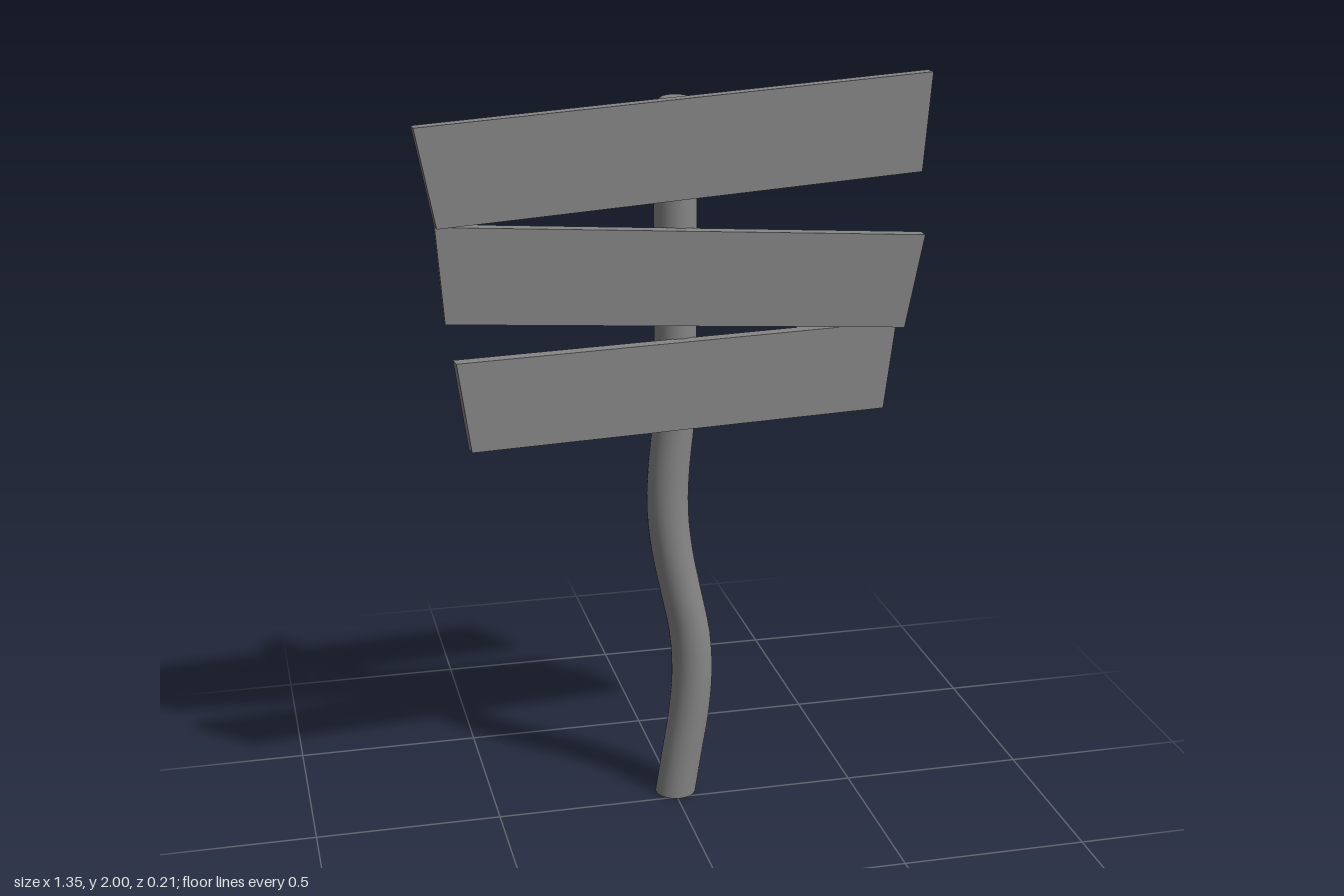
import * as THREE from 'three';
import { mergeVertices } from 'three/addons/utils/BufferGeometryUtils.js';

const material = new THREE.MeshStandardMaterial({ color: 0x868686, side: THREE.DoubleSide });
const RADIUS = 0.056;
const POST_X = 0.006;
const POST_Z = -0.047;
const BEND_TOP = 1.2;

// Sideways bend of the post, sampled at even heights from 0 to BEND_TOP
const bend = new THREE.CatmullRomCurve3(
  [POST_X, 0.025, 0.044, 0.053, 0.046, 0.022, -0.002, -0.015, -0.012, 0, POST_X]
    .map((x, i) => new THREE.Vector3(x, i * 0.12, 0)),
  false, 'catmullrom', 0.5
);

function createPost() {
  const group = new THREE.Group();
  group.name = 'post';

  // Straight profile, open at the foot, with a rounded top edge
  const profile = [];
  for (let i = 0; i <= 30; i++) profile.push(new THREE.Vector2(RADIUS, (i / 30) * BEND_TOP));
  const round = 0.028;
  for (let i = 0; i <= 6; i++) {
    const a = (i / 6) * Math.PI / 2;
    profile.push(new THREE.Vector2(RADIUS - round + round * Math.cos(a), 1.91 + 0.045 * Math.sin(a)));
  }

  // Bend the profile sideways ring by ring
  let geometry = new THREE.LatheGeometry(profile, 32);
  geometry.deleteAttribute('uv');
  geometry.deleteAttribute('normal');
  geometry = mergeVertices(geometry, 1e-5);
  const pos = geometry.attributes.position;
  for (let i = 0; i < pos.count; i++) {
    const t = Math.min(pos.getY(i) / BEND_TOP, 1);
    pos.setX(i, pos.getX(i) + bend.getPoint(t).x);
  }
  geometry.computeVertexNormals();
  const shaft = new THREE.Mesh(geometry, material);
  shaft.name = 'postShaft';

  // Flat disc closing the rounded top
  const cap = new THREE.Mesh(new THREE.CircleGeometry(RADIUS - round, 32), material);
  cap.name = 'postCap';
  cap.rotation.x = -Math.PI / 2;
  cap.position.set(POST_X, 1.955, 0);

  group.add(shaft, cap);
  group.position.z = POST_Z;
  return group;
}

// A plank cut from a four-cornered outline and turned about the post
function createBoard(name, corners, yaw) {
  const thickness = 0.037;
  const shape = new THREE.Shape(
    corners.map(([x, y]) => new THREE.Vector2(x / Math.cos(yaw), y))
  );
  const geometry = new THREE.ExtrudeGeometry(shape, { depth: thickness, bevelEnabled: false });
  geometry.translate(0, 0, -thickness / 2);
  const board = new THREE.Mesh(geometry, material);
  board.name = name;
  board.rotation.y = yaw;
  board.position.z = 0.022;
  return board;
}

export function createModel() {
  const model = new THREE.Group();
  model.name = 'signpost';
  model.add(
    createPost(),
    createBoard('topBoard', [[-0.625, 1.67], [0.652, 1.742], [0.673, 2], [-0.674, 1.923]], 0.048),
    createBoard('middleBoard', [[-0.605, 1.413], [0.602, 1.339], [0.65, 1.586], [-0.623, 1.664]], -0.03),
    createBoard('bottomBoard', [[-0.56, 1.094], [0.574, 1.094], [0.605, 1.332], [-0.593, 1.332]], 0.105)
  );
  return model;
}
